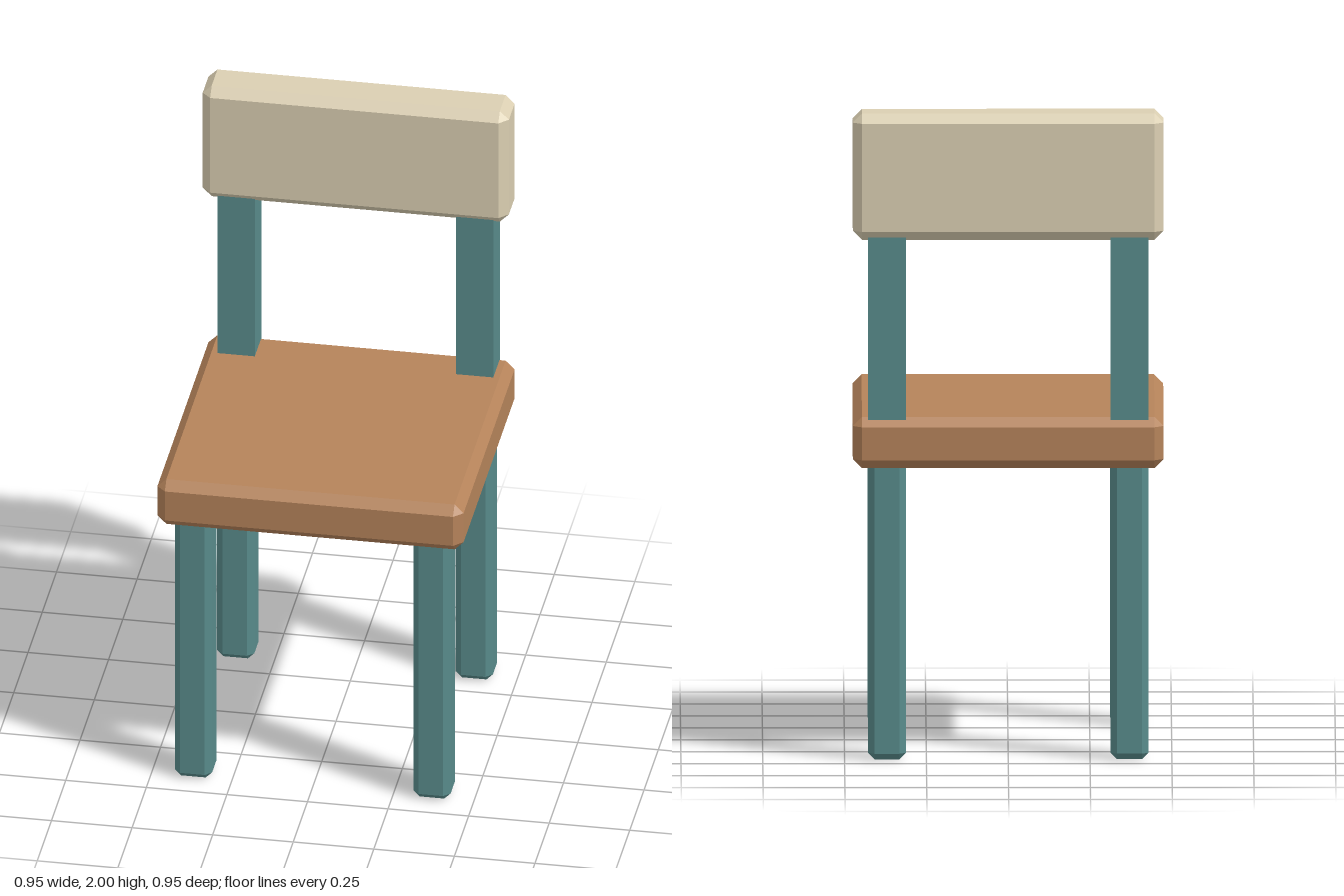
import * as THREE from 'three';
import { ConvexGeometry } from 'three/addons/geometries/ConvexGeometry.js';

const material = (name, color) => {
  const m = new THREE.MeshStandardMaterial({ color });
  m.name = name;
  return m;
};

// Box with every edge cut by a flat chamfer c
function chamferBox(w, h, d, c) {
  const points = [];
  for (const sx of [-1, 1]) for (const sy of [-1, 1]) for (const sz of [-1, 1]) {
    for (let axis = 0; axis < 3; axis++) {
      const half = [w / 2, h / 2, d / 2].map((v, i) => (i === axis ? v : v - c));
      points.push(new THREE.Vector3(sx * half[0], sy * half[1], sz * half[2]));
    }
  }
  return new ConvexGeometry(points);
}

export function createModel() {
  const chair = new THREE.Group();
  chair.name = 'chair';
  const wood = material('brown wood', 0xb5835a);
  const teal = material('teal paint', 0x588b8b);
  const cream = material('cream paint', 0xdbcfb2);

  const add = (name, geometry, mat, x, y, z) => {
    const mesh = new THREE.Mesh(geometry, mat);
    mesh.name = name;
    mesh.position.set(x, y, z);
    chair.add(mesh);
  };

  // Seat slab and backrest board
  add('seat', chamferBox(0.95, 0.158, 0.95, 0.028), wood, 0, 0.984, 0);
  add('backrest', chamferBox(0.95, 0.39, 0.156, 0.028), cream, 0, 1.805, -0.397);

  // Legs and backrest posts, mirrored left and right
  const leg = chamferBox(0.116, 0.94, 0.116, 0.02);
  const post = new THREE.BoxGeometry(0.116, 0.59, 0.116);
  for (const [side, x] of [['left', 0.37], ['right', -0.37]]) {
    add(side + 'FrontLeg', leg, teal, x, 0.47, 0.37);
    add(side + 'BackLeg', leg, teal, x, 0.47, -0.37);
    add(side + 'BackPost', post, teal, x, 1.335, -0.397);
  }
  return chair;
}
